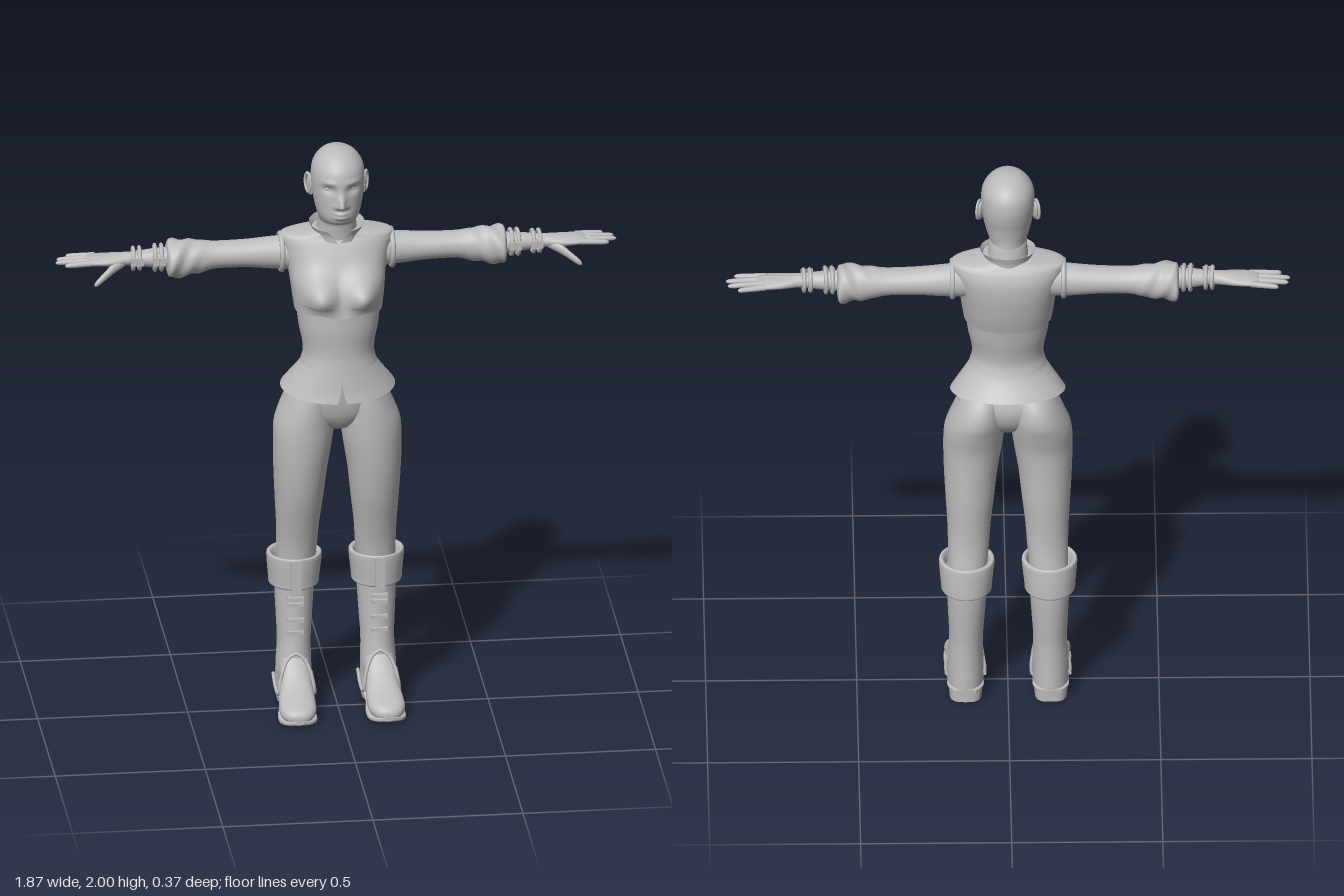
import * as THREE from 'three';

const grey = new THREE.MeshStandardMaterial({ color: 0xbcbcbc, side: THREE.DoubleSide });
grey.name = 'clay grey';

// Catmull-Rom blend of two neighbouring cross-sections
function blend(list, i, t) {
  const at = k => list[Math.min(Math.max(k, 0), list.length - 1)];
  const [a, b, c, d] = [at(i - 1), at(i), at(i + 1), at(i + 2)];
  return b.map((v, k) => 0.5 * (2 * v + (c[k] - a[k]) * t + (2 * a[k] - 5 * v + 4 * c[k] - d[k]) * t * t
    + (3 * v - a[k] - 3 * c[k] + d[k]) * t * t * t));
}

// Smooth loft through oval sections [u, centre a, half width a, low b, high b].
// axis y: u=y a=x b=z; axis z: u=z a=x b=y; axis x: u=x a=z b=y. gap(t) leaves a slit at the +b side.
function loft(sections, { axis = 'y', s = 1, seg = 32, sub = 5, n = 2, gap = null, deform = null } = {}) {
  const pos = [], idx = [], rows = (sections.length - 1) * sub, w = seg + 1;
  const pow = v => Math.sign(v) * Math.abs(v) ** (2 / n);
  for (let r = 0; r <= rows; r++) {
    const i = Math.min(Math.floor(r / sub), sections.length - 2);
    const [u, a, ra, lo, hi] = blend(sections, i, r / sub - i);
    const g = gap ? gap(r / rows) : 0;
    for (let j = 0; j <= seg; j++) {
      const th = g + (2 * Math.PI - 2 * g) * j / seg;
      const A = a + ra * pow(Math.sin(th)), B = (lo + hi) / 2 + (hi - lo) / 2 * pow(Math.cos(th));
      const p = axis === 'y' ? new THREE.Vector3(A, u, B)
        : axis === 'z' ? new THREE.Vector3(A, B, u) : new THREE.Vector3(u, B, A);
      if (deform) deform(p);
      pos.push(p.x * s, p.y, p.z);
    }
  }
  const wrap = j => gap ? j : j % seg;
  for (let r = 0; r < rows; r++) for (let j = 0; j < seg; j++) {
    const a = r * w + j, b = r * w + wrap(j + 1);
    idx.push(a, b, a + w, b, b + w, a + w);
  }
  if (!gap) for (const r of [0, rows]) {            // flat end caps
    const base = pos.length / 3, c = [0, 0, 0];
    for (let j = 0; j < seg; j++) for (let k = 0; k < 3; k++) {
      const v = pos[(r * w + j) * 3 + k];
      pos.push(v);
      c[k] += v / seg;
    }
    pos.push(...c);
    for (let j = 0; j < seg; j++) {
      const a = base + j, b = base + (j + 1) % seg;
      idx.push(...(r ? [a, b, base + seg] : [b, a, base + seg]));
    }
  }
  // turn the faces outward
  let vol = 0;
  const P = k => new THREE.Vector3().fromArray(pos, k * 3);
  for (let k = 0; k < idx.length; k += 3) vol += P(idx[k]).dot(P(idx[k + 1]).cross(P(idx[k + 2])));
  if (vol < 0) idx.reverse();
  const geo = new THREE.BufferGeometry();
  geo.setAttribute('position', new THREE.Float32BufferAttribute(pos, 3));
  geo.setIndex(idx);
  geo.computeVertexNormals();
  return geo;
}

function add(parent, name, geo, x = 0, y = 0, z = 0) {
  const m = new THREE.Mesh(geo, grey);
  m.name = name;
  m.position.set(x, y, z);
  parent.add(m);
  return m;
}
const bell = (v, c, w) => Math.exp(-(((v - c) / w) ** 2));
const tube = (pts, r) => new THREE.TubeGeometry(
  new THREE.CatmullRomCurve3(pts.map(p => new THREE.Vector3(...p))), 28, r, 8);

function buildHead(g) {
  // bald head and neck, with sockets, nose and lips pushed out of the loft
  add(g, 'head', loft([
    [1.66, 0, 0.072, -0.115, 0.03], [1.71, 0, 0.066, -0.108, 0.035], [1.742, 0, 0.063, -0.102, 0.045],
    [1.756, 0, 0.064, -0.1, 0.088], [1.78, 0, 0.072, -0.1, 0.103], [1.82, 0, 0.081, -0.106, 0.104],
    [1.86, 0, 0.087, -0.116, 0.104], [1.9, 0, 0.089, -0.122, 0.107], [1.94, 0, 0.084, -0.117, 0.098],
    [1.97, 0, 0.067, -0.096, 0.074], [1.99, 0, 0.042, -0.064, 0.043], [2, 0, 0.004, -0.014, -0.006],
  ], { seg: 96, sub: 9, deform: p => {
    if (p.z < 0.03) return;
    const x = Math.abs(p.x);
    p.z += 0.034 * bell(x, 0, 0.014) * (p.y > 1.83 ? bell(p.y, 1.83, 0.034) : bell(p.y, 1.83, 0.011));
    p.z += 0.006 * bell(x, 0.018, 0.009) * bell(p.y, 1.825, 0.009);
    p.z -= 0.014 * bell(x, 0.04, 0.02) * bell(p.y, 1.882, 0.014);
    p.z += 0.005 * bell(x, 0.04, 0.024) * bell(p.y, 1.908, 0.008);
    p.z += 0.009 * bell(x, 0, 0.022) * (bell(p.y, 1.8, 0.006) + bell(p.y, 1.786, 0.007));
  } }));
  for (const s of [-1, 1]) {
    add(g, 'eye', new THREE.SphereGeometry(0.016, 20, 14), s * 0.039, 1.882, 0.066).scale.y = 0.65;
    const ear = add(g, 'ear', new THREE.SphereGeometry(1, 20, 14), s * 0.089, 1.862, -0.024);
    ear.scale.set(0.009, 0.038, 0.022);
    ear.rotation.set(-0.2, s * -0.35, 0);
    const rim = add(g, 'earRim', new THREE.TorusGeometry(0.023, 0.005, 8, 24), s * 0.096, 1.866, -0.026);
    rim.rotation.y = Math.PI / 2 - s * 0.35;
    rim.scale.y = 1.4;
  }
}

function buildTorso(g) {
  // bodice with bust, fitted corset, flared peplum and stand collar
  add(g, 'bodice', loft([
    [1.435, 0, 0.146, -0.118, 0.128], [1.48, 0, 0.152, -0.13, 0.115], [1.53, 0, 0.158, -0.14, 0.098],
    [1.58, 0, 0.166, -0.147, 0.075], [1.63, 0, 0.178, -0.147, 0.055], [1.665, 0, 0.188, -0.136, 0.038],
    [1.684, 0, 0.182, -0.124, 0.027], [1.695, 0, 0.125, -0.116, 0.026], [1.704, 0, 0.07, -0.11, 0.028],
  ], { seg: 80, sub: 8, n: 2.2, deform: p => {
    if (p.z > 0) p.z += 0.068 * bell(Math.abs(p.x), 0.074, 0.056) * bell(p.y, 1.512, 0.058);
    if (p.y < 1.47) p.y += 0.012 * bell(Math.abs(p.x), 0.075, 0.04) * (p.z > 0 ? 1 : 0);
  } }));
  add(g, 'corset', loft([
    [1.46, 0, 0.141, -0.115, 0.122], [1.38, 0, 0.133, -0.102, 0.122], [1.32, 0, 0.121, -0.09, 0.118],
    [1.28, 0, 0.119, -0.088, 0.118], [1.245, 0, 0.128, -0.1, 0.124],
  ], { seg: 64, sub: 6, deform: p => {
    if (p.y < 1.275 && p.z > 0) p.y -= 0.022 * bell(p.x, 0, 0.04) * (1.275 - p.y) / 0.03;
  } }));
  add(g, 'peplum', loft([
    [1.26, 0, 0.118, -0.09, 0.115], [1.225, 0, 0.14, -0.105, 0.12],
    [1.18, 0, 0.172, -0.132, 0.128], [1.152, 0, 0.191, -0.15, 0.136],
  ], { seg: 72, gap: t => 0.004 + 0.14 * Math.max(0, t - 0.45), deform: p => {
    p.y -= 0.15 * p.z * (1.26 - p.y) / 0.108;
  } }));
  add(g, 'collar', loft([
    [1.685, 0, 0.078, -0.118, 0.045], [1.705, 0, 0.081, -0.12, 0.046], [1.726, 0, 0.092, -0.125, 0.052],
  ], { seg: 48, gap: t => 0.05 + 0.4 * t, deform: p => { p.y -= 0.09 * (p.z + 0.1); } }));
  add(g, 'pelvis', loft([
    [1.26, 0, 0.112, -0.085, 0.108], [1.19, 0, 0.135, -0.105, 0.1], [1.12, 0, 0.155, -0.125, 0.092],
    [1.06, 0, 0.13, -0.11, 0.078], [1.015, 0, 0.06, -0.07, 0.05], [0.998, 0, 0.02, -0.03, 0.02],
  ], { n: 2.2 }));
}

function buildArm(g, s) {
  add(g, 'armholeRim', new THREE.TorusGeometry(0.061, 0.009, 10, 36), s * 0.184, 1.612, -0.053).rotation.y = Math.PI / 2;
  // sleeve widening into a gathered cuff
  add(g, 'sleeve', loft([
    [0.14, -0.053, 0.055, 1.55, 1.67], [0.22, -0.058, 0.052, 1.555, 1.663], [0.3, -0.06, 0.049, 1.562, 1.656],
    [0.4, -0.062, 0.048, 1.562, 1.654], [0.45, -0.062, 0.053, 1.55, 1.66], [0.5, -0.06, 0.058, 1.542, 1.664],
    [0.535, -0.059, 0.067, 1.537, 1.667], [0.558, -0.059, 0.068, 1.54, 1.662], [0.566, -0.058, 0.045, 1.565, 1.645],
  ], { axis: 'x', s, seg: 40, sub: 6, deform: p => {
    const k = Math.min(Math.max((p.x - 0.43) / 0.06, 0), 1), a = Math.atan2(p.y - 1.605, p.z + 0.06);
    const f = 1 + 0.06 * k * Math.sin(a * 3 + p.x * 95);
    p.y = 1.605 + (p.y - 1.605) * f;
    p.z = -0.06 + (p.z + 0.06) * f;
  } }));
  add(g, 'forearmAndPalm', loft([
    [0.54, -0.055, 0.037, 1.572, 1.644], [0.6, -0.054, 0.034, 1.576, 1.642], [0.67, -0.054, 0.027, 1.586, 1.634],
    [0.7, -0.055, 0.029, 1.588, 1.632], [0.75, -0.057, 0.041, 1.59, 1.628], [0.8, -0.06, 0.045, 1.594, 1.624],
    [0.822, -0.062, 0.041, 1.598, 1.621], [0.83, -0.062, 0.03, 1.603, 1.617],
  ], { axis: 'x', s, seg: 28 }));
  // fingers: root z, tip z, tip x
  [[-0.097, -0.11, 0.895], [-0.073, -0.082, 0.928], [-0.05, -0.053, 0.934], [-0.028, -0.022, 0.906]].forEach(([z0, z1, x1], i) => {
    const x0 = 0.8, at = (t, r) => [x0 + (x1 - x0) * t, z0 + (z1 - z0) * t, r, 1.61 - r - 0.004 * t, 1.61 + r - 0.004 * t];
    add(g, 'finger' + (i + 1), loft([at(0, 0.0105), at(0.5, 0.0095), at(0.88, 0.008), at(0.98, 0.004), at(1, 0.0005)],
      { axis: 'x', s, seg: 12, sub: 4 }));
  });
  add(g, 'thumb', loft([
    [0.705, -0.044, 0.014, 1.588, 1.62], [0.745, -0.022, 0.016, 1.572, 1.608], [0.775, -0.004, 0.012, 1.556, 1.586],
    [0.8, 0.008, 0.009, 1.542, 1.566], [0.812, 0.013, 0.002, 1.542, 1.552],
  ], { axis: 'x', s, seg: 14 }));
  // wrist straps with buckles
  [[0.582, 0.042], [0.604, 0.042], [0.655, 0.036], [0.676, 0.036]].forEach(([x, r]) => {
    const band = add(g, 'wristStrap', new THREE.TorusGeometry(r, 0.007, 8, 32), s * x, 1.61, -0.054);
    band.rotation.set(0, Math.PI / 2 + s * 0.06, 0);
    add(g, 'strapBuckle', new THREE.BoxGeometry(0.02, 0.026, 0.012), s * x, 1.612, -0.05 + r);
  });
}

function buildLeg(g, s) {
  add(g, 'trouserLeg', loft([
    [1.2, 0.075, 0.055, -0.085, 0.075], [1.14, 0.088, 0.072, -0.138, 0.086], [1.08, 0.1, 0.088, -0.154, 0.091],
    [1.02, 0.11, 0.1, -0.142, 0.091], [0.95, 0.116, 0.098, -0.127, 0.088], [0.85, 0.123, 0.089, -0.124, 0.077],
    [0.75, 0.126, 0.081, -0.125, 0.058], [0.65, 0.129, 0.072, -0.122, 0.03], [0.57, 0.131, 0.068, -0.125, 0.01],
    [0.48, 0.135, 0.064, -0.14, -0.002],
  ], { s }));
  // tall boot: shaft, folded cuff, foot, sole and heel
  add(g, 'bootShaft', loft([
    [0.5, 0.136, 0.066, -0.152, -0.003], [0.4, 0.137, 0.065, -0.155, -0.008], [0.3, 0.138, 0.06, -0.148, -0.006],
    [0.22, 0.139, 0.056, -0.141, 0], [0.14, 0.141, 0.059, -0.14, 0.014], [0.06, 0.141, 0.061, -0.143, 0.03],
    [0.035, 0.141, 0.06, -0.143, 0.03],
  ], { s }));
  add(g, 'bootCuff', loft([
    [0.5, 0.135, 0.067, -0.145, 0], [0.527, 0.137, 0.077, -0.157, 0.006], [0.53, 0.137, 0.088, -0.168, 0.011],
    [0.515, 0.137, 0.092, -0.173, 0.013], [0.44, 0.138, 0.085, -0.179, 0.008], [0.42, 0.138, 0.083, -0.177, 0.006],
    [0.415, 0.138, 0.066, -0.158, -0.005],
  ], { s, sub: 4 }));
  add(g, 'cuffTab', new THREE.BoxGeometry(0.034, 0.115, 0.014), s * 0.14, 0.468, 0.01);
  [0.385, 0.365, 0.31, 0.265].forEach(y =>
    add(g, 'shinStrap', new THREE.BoxGeometry(0.052, 0.012, 0.018), s * 0.14, y, -0.004));
  add(g, 'bootFoot', loft([
    [-0.1, 0.141, 0.05, 0.035, 0.12], [-0.04, 0.141, 0.056, 0.035, 0.19], [0, 0.142, 0.053, 0.03, 0.183],
    [0.04, 0.143, 0.055, 0.02, 0.132], [0.09, 0.146, 0.061, 0.012, 0.094], [0.14, 0.148, 0.06, 0.01, 0.073],
    [0.172, 0.149, 0.046, 0.011, 0.06], [0.187, 0.149, 0.026, 0.018, 0.046], [0.191, 0.149, 0.006, 0.026, 0.034],
  ], { axis: 'z', s, n: 2.3 }));
  add(g, 'bootSole', loft([
    [-0.142, 0.141, 0.035, 0.035, 0.048], [-0.1, 0.141, 0.06, 0.034, 0.048], [-0.03, 0.141, 0.057, 0.032, 0.046],
    [0.03, 0.143, 0.054, 0.014, 0.03], [0.08, 0.146, 0.063, 0, 0.02], [0.14, 0.148, 0.063, 0.001, 0.02],
    [0.176, 0.149, 0.046, 0.006, 0.024], [0.193, 0.149, 0.014, 0.014, 0.028],
  ], { axis: 'z', s, n: 4 }));
  add(g, 'bootHeel', loft([
    [0, 0.141, 0.053, -0.143, -0.025], [0.02, 0.141, 0.055, -0.143, -0.02], [0.045, 0.141, 0.058, -0.144, -0.008],
  ], { s, n: 3 }));
  // edge of the shaft over the instep, running back along the heel
  const half = k => [[0.063, 0.085, -0.1], [0.064, 0.065, -0.02], [0.06, 0.062, 0.035], [0.05, 0.125, 0.03], [0.028, 0.175, 0.012]]
    .map(([x, y, z]) => [s * (0.141 + k * x), y, z]);
  add(g, 'instepTrim', tube([...half(-1), [s * 0.141, 0.193, 0.006], ...half(1).reverse()], 0.006));
}

export function createModel() {
  const model = new THREE.Group();
  model.name = 'figure';
  const part = (name, build, s) => {
    const g = new THREE.Group();
    g.name = name;
    build(g, s);
    model.add(g);
  };
  part('headGroup', buildHead);
  part('torsoGroup', buildTorso);
  for (const [side, s] of [['left', 1], ['right', -1]]) {
    part(side + 'Arm', buildArm, s);
    part(side + 'Leg', buildLeg, s);
  }
  return model;
}
